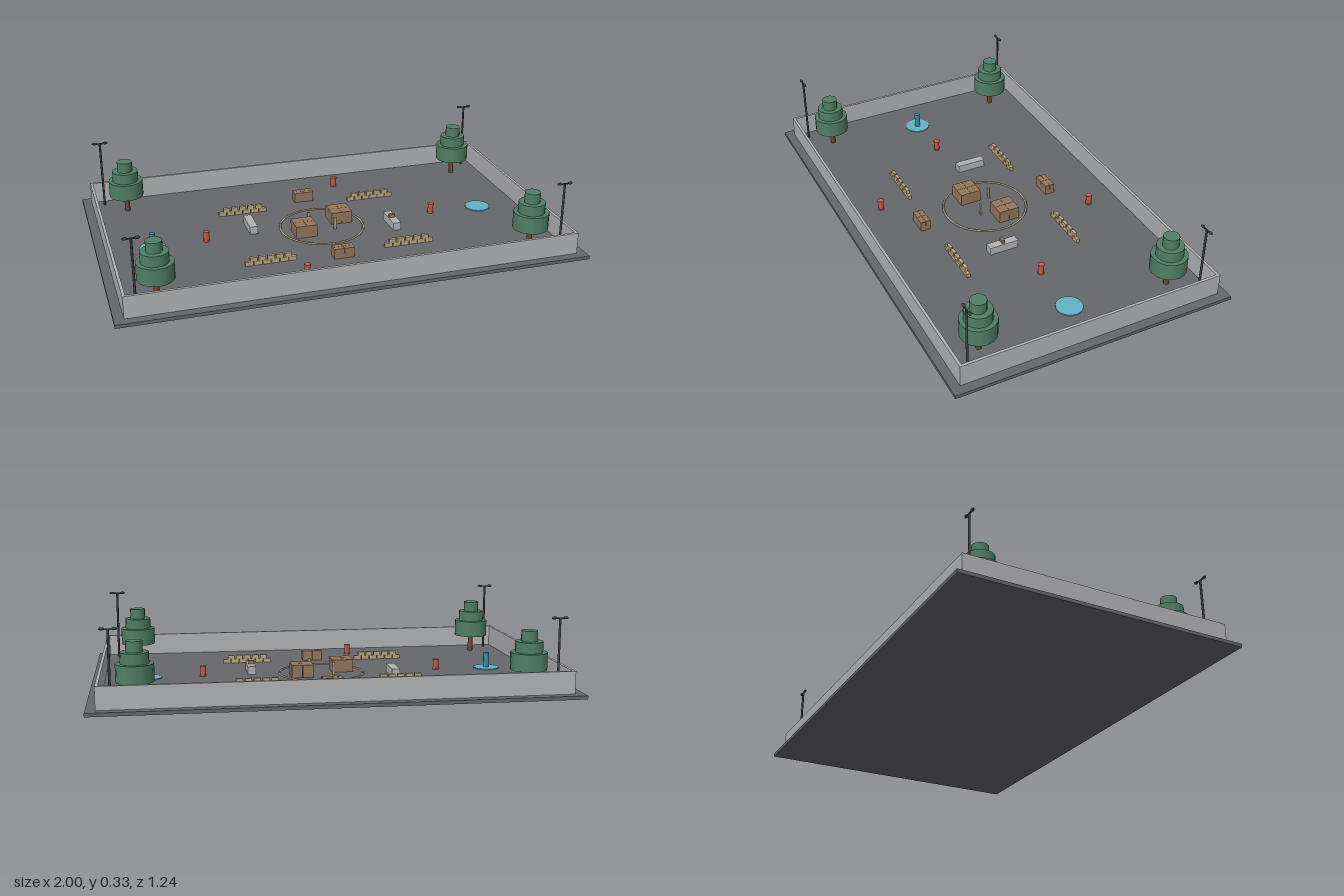
import * as THREE from 'three';

const mat = (name, color) => {
  const m = new THREE.MeshStandardMaterial({ color });
  m.name = name;
  return m;
};

export function createModel() {
  const asphalt = mat('asphalt', 0x66676b);
  const concrete = mat('concrete', 0xb2b3b5);
  const leaf = mat('leafGreen', 0x4f7f66);
  const bark = mat('bark', 0x6b4a35);
  const metal = mat('darkMetal', 0x3c3e42);
  const water = mat('water', 0x62b4c6);
  const teal = mat('teal', 0x3a8ca3);
  const wood = mat('crateWood', 0x94765a);
  const sand = mat('sand', 0xb8a67c);
  const red = mat('barrelRed', 0xc9584c);

  const model = new THREE.Group();
  model.name = 'walledYard';
  const FLOOR = 0.015;

  const group = (name, x, z) => {
    const g = new THREE.Group();
    g.name = name;
    g.position.set(x, FLOOR, z);
    model.add(g);
    return g;
  };
  const add = (parent, name, geometry, material, x, y, z) => {
    const m = new THREE.Mesh(geometry, material);
    m.name = name;
    m.position.set(x, y, z);
    parent.add(m);
    return m;
  };
  // Boxes and cylinders are placed by the centre of their base
  const box = (p, name, m, w, h, d, x, y, z) =>
    add(p, name, new THREE.BoxGeometry(w, h, d), m, x, y + h / 2, z);
  const cyl = (p, name, m, r, h, x, y, z, sides = 16, rTop = r) =>
    add(p, name, new THREE.CylinderGeometry(rTop, r, h, sides), m, x, y + h / 2, z);

  // Ground slab and perimeter walls
  box(model, 'ground', asphalt, 2, FLOOR, 1.235, 0, 0, 0);
  for (const s of [-1, 1]) {
    box(model, 'longWall', concrete, 1.92, 0.095, 0.012, 0, FLOOR, s * 0.573);
    box(model, 'endWall', concrete, 0.012, 0.095, 1.134, s * 0.954, FLOOR, 0);
  }

  // Trees and lamp posts in the four corners
  const tiers = [[0.077, 0.078, 0.074], [0.058, 0.152, 0.046], [0.034, 0.198, 0.045]];
  for (const sx of [-1, 1]) {
    for (const sz of [-1, 1]) {
      const tree = group('tree', sx * 0.81, sz * 0.43);
      cyl(tree, 'trunk', bark, 0.012, 0.08, 0, 0, 0, 8);
      for (const [r, y, h] of tiers) cyl(tree, 'foliageTier', leaf, r, h, 0, y, 0);

      const lamp = group('lampPost', sx * 0.905, sz * 0.523);
      cyl(lamp, 'post', metal, 0.005, 0.305, 0, 0, 0, 8);
      box(lamp, 'crossArm', metal, 0.056, 0.005, 0.005, 0, 0.303, 0);
      for (const s of [-1, 1]) {
        const head = add(lamp, 'lampHead', new THREE.SphereGeometry(0.012, 10, 6), metal, s * 0.024, 0.307, 0);
        head.scale.set(1, 0.5, 0.55);
      }
    }
  }

  // Pools, one with a fountain column
  for (const s of [-1, 1]) {
    const pool = group('pool', s * 0.76, 0);
    cyl(pool, 'poolWater', water, 0.057, 0.004, 0, 0, 0, 20);
    if (s < 0) cyl(pool, 'fountainColumn', teal, 0.013, 0.066, 0, 0.004, 0, 10);
  }

  // Centre ring and its two marker posts
  const ring = add(model, 'centreRing', new THREE.TorusGeometry(0.187, 0.0045, 6, 48), sand, 0, FLOOR + 0.001, 0);
  ring.rotation.x = Math.PI / 2;
  for (const s of [-1, 1]) {
    box(model, 'markerPost', sand, 0.012, 0.055, 0.007, s * 0.048, FLOOR, s * 0.045);
  }

  // Crate stacks: each is a 2 by 2 block of boxes
  const crates = (x, z, w, h, d) => {
    const g = group('crateStack', x, z);
    for (const i of [-1, 1]) {
      for (const j of [-1, 1]) {
        box(g, 'crate', wood, w / 2 - 0.001, h, d / 2 - 0.001, i * w / 4, 0, j * d / 4);
      }
    }
  };
  crates(0.096, -0.05, 0.096, 0.055, 0.096);
  crates(-0.096, 0.046, 0.096, 0.055, 0.096);
  crates(0, -0.31, 0.09, 0.045, 0.046);
  crates(0, 0.31, 0.09, 0.045, 0.046);

  // Sandbag rows, the upper course set half a bag over
  for (const x of [-0.308, 0.308]) {
    for (const z of [-0.24, 0.282]) {
      const row = group('sandbagRow', x, z);
      for (let i = 0; i < 6; i++) {
        box(row, 'sandbag', sand, 0.034, 0.018, 0.015, (i - 2.5) * 0.0375, 0, 0);
        if (i < 5) box(row, 'upperSandbag', sand, 0.03, 0.018, 0.014, (i - 2) * 0.0375, 0.018, 0);
      }
    }
  }

  // Concrete barriers, one carrying a small crate
  box(model, 'barrier', concrete, 0.036, 0.035, 0.133, -0.31, FLOOR, -0.075);
  box(model, 'barrier', concrete, 0.036, 0.035, 0.133, 0.31, FLOOR, 0.07);
  box(model, 'smallCrate', wood, 0.026, 0.016, 0.014, 0.308, FLOOR + 0.035, 0.07);

  // Barrels with raised rims
  for (const [x, z] of [[-0.525, 0], [0.525, 0], [0.19, -0.43], [-0.19, 0.427]]) {
    const barrel = group('barrel', x, z);
    cyl(barrel, 'barrelBody', red, 0.0125, 0.045, 0, 0, 0, 10);
    for (const y of [0, 0.04]) cyl(barrel, 'barrelRim', red, 0.0145, 0.006, 0, y, 0, 10);
  }

  return model;
}
